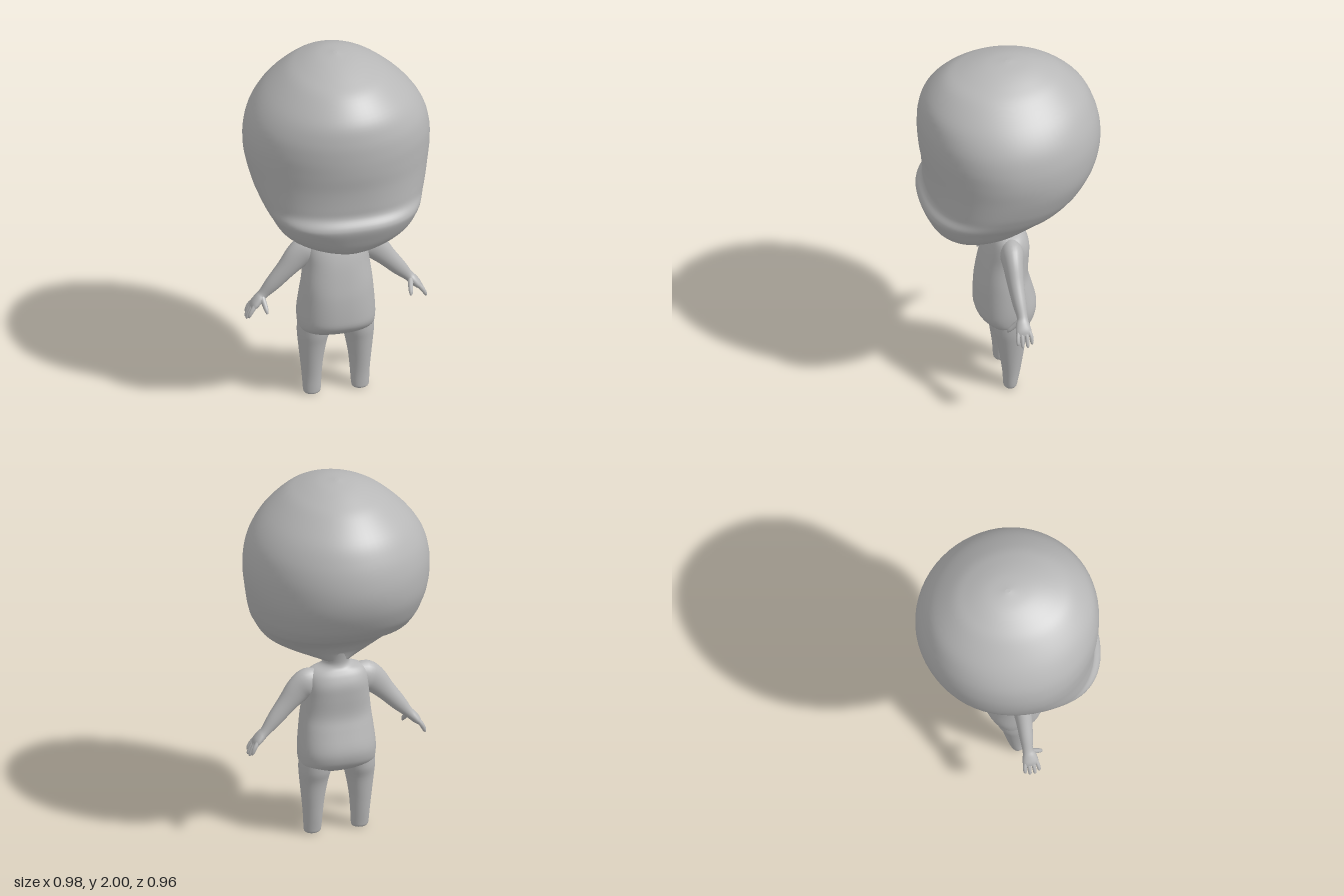
import * as THREE from 'three';

const skin = new THREE.MeshStandardMaterial({ color: 0xb8b8b8 });
skin.name = 'plain grey';

// Smoothly resample a table of cross-section rows
function resample(rows, steps) {
  const out = [], last = rows.length - 1;
  for (let i = 0; i < last; i++) {
    const [p, q, r, s] = [i - 1, i, i + 1, i + 2].map(k => rows[Math.min(last, Math.max(0, k))]);
    for (let k = 0; k < steps; k++) {
      const t = k / steps;
      out.push(q.map((v, c) => v + 0.5 * t * (r[c] - p[c] + t * (2 * p[c] - 5 * v + 4 * r[c] - s[c]
        + t * (3 * (v - r[c]) + s[c] - p[c])))));
    }
  }
  out.push(rows[last]);
  return out;
}

// Skin a list of rings, closing both ends with flat caps
function loft(name, rings) {
  const n = rings[0].length, pos = [], idx = [];
  rings.forEach(r => r.forEach(p => pos.push(p.x, p.y, p.z)));
  for (let i = 0; i < rings.length - 1; i++) {
    for (let j = 0; j < n; j++) {
      const a = i * n + j, b = i * n + (j + 1) % n;
      idx.push(a, a + n, b, b, a + n, b + n);
    }
  }
  [rings[0], rings[rings.length - 1]].forEach((ring, end) => {
    const base = pos.length / 3, mid = new THREE.Vector3();
    ring.forEach(p => { pos.push(p.x, p.y, p.z); mid.addScaledVector(p, 1 / n); });
    pos.push(mid.x, mid.y, mid.z);
    for (let j = 0; j < n; j++) {
      const a = base + j, b = base + (j + 1) % n;
      idx.push(base + n, ...(end ? [b, a] : [a, b]));
    }
  });
  const geo = new THREE.BufferGeometry();
  geo.setAttribute('position', new THREE.Float32BufferAttribute(pos, 3));
  geo.setIndex(idx);
  geo.computeVertexNormals();
  const mesh = new THREE.Mesh(geo, skin);
  mesh.name = name;
  return mesh;
}

const bend = (v, n) => Math.sign(v) * Math.pow(Math.abs(v), 2 / n);

// Upright form; rows run upward: y, centre x, half width, front z, back z, widest z, squareness
function upright(name, rows, sides, steps, mirror = 1) {
  return loft(name, resample(rows, steps).map(([y, cx, w, front, back, zc, n]) =>
    Array.from({ length: sides }, (_, j) => {
      const a = j / sides * Math.PI * 2, s = bend(Math.sin(a), n);
      return new THREE.Vector3(cx * mirror + w * bend(Math.cos(a), n), y,
        zc + s * (s > 0 ? front - zc : zc - back));
    })));
}

// Limb along a path; rows: x, y, z, in-plane radius, depth radius
function limb(name, rows, sides, steps, mirror) {
  const path = resample(rows, steps).map(([x, ...r]) => [x * mirror, ...r]);
  const at = i => new THREE.Vector3(...path[Math.min(path.length - 1, Math.max(0, i))].slice(0, 3));
  return loft(name, path.map(([, , , ru, rv], i) => {
    const d = at(i + 1).sub(at(i - 1)).normalize();
    const u = d.clone().cross(new THREE.Vector3(0, 0, 1)).normalize();
    const v = u.clone().cross(d);
    return Array.from({ length: sides }, (_, j) => {
      const a = j / sides * Math.PI * 2;
      return at(i).addScaledVector(u, ru * Math.cos(a)).addScaledVector(v, rv * Math.sin(a));
    });
  }));
}

const HEAD = [
  [0.962, 0, 0.05, 0.30, -0.03, 0.16, 2],
  [0.975, 0, 0.11, 0.34, -0.045, 0.19, 2],
  [1.01, 0, 0.21, 0.395, -0.055, 0.21, 2.1],
  [1.05, 0, 0.29, 0.425, -0.075, 0.21, 2.2],
  [1.10, 0, 0.35, 0.45, -0.12, 0.19, 2.3],
  [1.165, 0, 0.39, 0.477, -0.225, 0.16, 2.4],
  [1.20, 0, 0.41, 0.475, -0.29, 0.14, 2.4],
  [1.245, 0, 0.43, 0.447, -0.345, 0.11, 2.3],
  [1.30, 0, 0.45, 0.448, -0.395, 0.08, 2.2],
  [1.40, 0, 0.475, 0.457, -0.45, 0.04, 2.1],
  [1.50, 0, 0.49, 0.473, -0.477, 0.03, 2],
  [1.60, 0, 0.485, 0.48, -0.475, 0.03, 2],
  [1.70, 0, 0.455, 0.475, -0.45, 0.03, 2],
  [1.80, 0, 0.385, 0.445, -0.40, 0.03, 2],
  [1.90, 0, 0.275, 0.355, -0.30, 0.03, 2],
  [1.95, 0, 0.19, 0.255, -0.215, 0.02, 2],
  [1.985, 0, 0.10, 0.14, -0.12, 0.01, 2],
  [2.0, 0, 0.01, 0.02, -0.01, 0.005, 2],
];

const TORSO = [
  [0.352, 0, 0.09, 0.05, -0.03, 0.01, 2],
  [0.37, 0, 0.17, 0.10, -0.065, 0.01, 2.2],
  [0.40, 0, 0.198, 0.148, -0.108, 0.01, 2.4],
  [0.44, 0, 0.205, 0.18, -0.13, 0.01, 2.4],
  [0.50, 0, 0.205, 0.185, -0.135, 0.01, 2.4],
  [0.60, 0, 0.196, 0.18, -0.11, 0.02, 2.4],
  [0.68, 0, 0.187, 0.168, -0.092, 0.03, 2.4],
  [0.78, 0, 0.175, 0.148, -0.098, 0.02, 2.4],
  [0.85, 0, 0.172, 0.128, -0.10, 0.02, 2.4],
  [0.90, 0, 0.165, 0.108, -0.085, 0.02, 2.3],
  [0.93, 0, 0.138, 0.092, -0.068, 0.02, 2.2],
  [0.95, 0, 0.085, 0.085, -0.055, 0.02, 2],
  [0.98, 0, 0.068, 0.088, -0.052, 0.02, 2],
  [1.05, 0, 0.085, 0.10, -0.07, 0.02, 2],
];

const LEG = [
  [0.0, 0.13, 0.033, 0.048, -0.005, 0.022, 2],
  [0.008, 0.13, 0.043, 0.055, -0.013, 0.022, 2],
  [0.03, 0.13, 0.048, 0.057, -0.018, 0.02, 2],
  [0.10, 0.13, 0.052, 0.062, -0.032, 0.015, 2],
  [0.20, 0.13, 0.061, 0.076, -0.048, 0.012, 2],
  [0.30, 0.126, 0.075, 0.092, -0.064, 0.01, 2],
  [0.37, 0.12, 0.086, 0.105, -0.085, 0.01, 2],
  [0.46, 0.112, 0.09, 0.11, -0.09, 0.01, 2],
];

const ARM = [
  [0.08, 0.865, 0.015, 0.06, 0.05],
  [0.15, 0.855, 0.016, 0.085, 0.062],
  [0.205, 0.825, 0.02, 0.073, 0.053],
  [0.27, 0.755, 0.02, 0.054, 0.044],
  [0.34, 0.675, 0.015, 0.042, 0.036],
  [0.39, 0.618, 0.01, 0.028, 0.028],
  [0.415, 0.593, 0.013, 0.026, 0.036],
  [0.44, 0.565, 0.013, 0.022, 0.042],
  [0.455, 0.545, 0.013, 0.012, 0.036],
];

// Finger tips: x, y, z
const TIPS = [[0.478, 0.505, 0.05], [0.484, 0.49, 0.026], [0.483, 0.49, 0.0], [0.476, 0.502, -0.024]];

export function createModel() {
  const model = new THREE.Group();
  model.name = 'bigHeadedFigure';
  model.add(upright('head', HEAD, 64, 5));
  model.add(upright('torso', TORSO, 48, 4));

  for (const [side, m] of [['left', 1], ['right', -1]]) {
    model.add(upright(side + 'Leg', LEG, 32, 4, m));
    const arm = new THREE.Group();
    arm.name = side + 'ArmAndHand';
    arm.add(limb(side + 'Arm', ARM, 28, 4, m));
    TIPS.forEach(([x, y, z], i) => arm.add(limb(side + 'Finger' + (i + 1), [
      [0.437, 0.572, 0.013 + (z - 0.013) * 0.7, 0.013, 0.011],
      [0.46, 0.543, z * 0.95, 0.012, 0.011],
      [x - 0.003, y + 0.012, z, 0.009, 0.009],
      [x, y, z, 0.003, 0.003],
    ], 10, 3, m)));
    arm.add(limb(side + 'Thumb', [
      [0.402, 0.61, 0.022, 0.016, 0.016],
      [0.395, 0.578, 0.052, 0.014, 0.014],
      [0.39, 0.55, 0.078, 0.011, 0.011],
      [0.388, 0.535, 0.088, 0.004, 0.004],
    ], 10, 3, m));
    model.add(arm);
  }
  return model;
}
